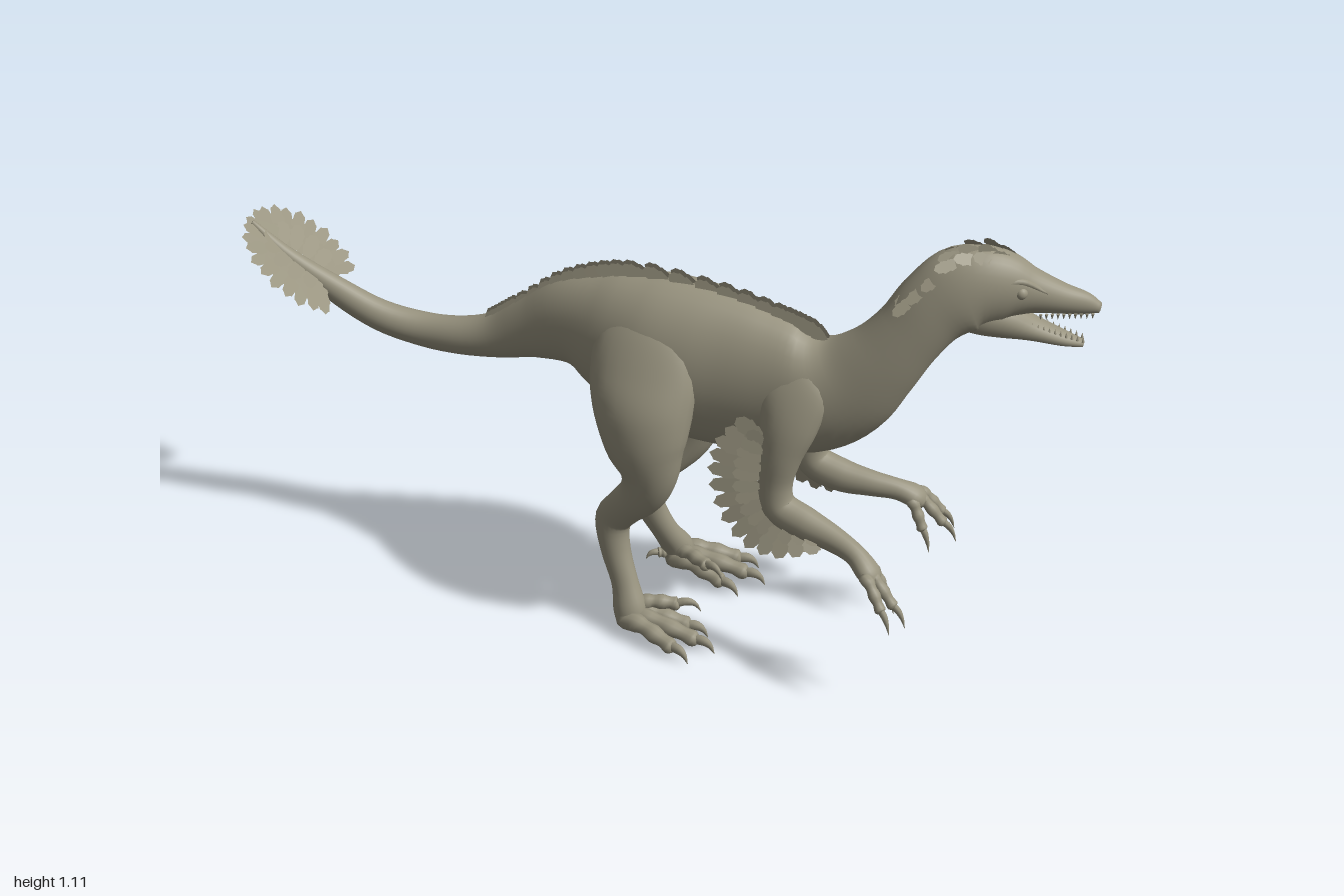
import * as THREE from 'three';

const mat = new THREE.MeshStandardMaterial({ color: 0x98937f, side: THREE.DoubleSide });
const V = (x, y, z) => new THREE.Vector3(x, y, z);

function add(parent, geometry, name) {
  const mesh = new THREE.Mesh(geometry, mat);
  mesh.name = name;
  parent.add(mesh);
  return mesh;
}

// Smooth skin through sections [x, y, z, radius in the bend plane, radius sideways]
function loft(sections, steps = 24, sides = 16) {
  const path = new THREE.CatmullRomCurve3(sections.map(s => V(s[0], s[1], s[2])), false, 'catmullrom', 0.5);
  const radii = new THREE.CatmullRomCurve3(sections.map(s => V(s[3], s[4], 0)), false, 'catmullrom', 0.5);
  const pos = [], idx = [];
  for (let i = 0; i <= steps; i++) {
    const c = path.getPoint(i / steps), t = path.getTangent(i / steps), r = radii.getPoint(i / steps);
    const s = V(0, 0, 1).addScaledVector(t, -t.z).normalize();
    const n = s.clone().cross(t);
    for (let j = 0; j < sides; j++) {
      const a = j / sides * Math.PI * 2;
      const p = c.clone().addScaledVector(n, Math.cos(a) * r.x).addScaledVector(s, Math.sin(a) * r.y);
      pos.push(p.x, p.y, p.z);
      if (i < steps) {
        const k = i * sides + j, l = i * sides + (j + 1) % sides;
        idx.push(k, l, k + sides, l, l + sides, k + sides);
      }
    }
  }
  // End caps
  const first = sections[0], last = sections[sections.length - 1], m = pos.length / 3, e = steps * sides;
  pos.push(first[0], first[1], first[2], last[0], last[1], last[2]);
  for (let j = 0; j < sides; j++) {
    const k = (j + 1) % sides;
    idx.push(m, k, j, m + 1, e + j, e + k);
  }
  const g = new THREE.BufferGeometry();
  g.setAttribute('position', new THREE.Float32BufferAttribute(pos, 3));
  g.setIndex(idx);
  g.computeVertexNormals();
  return g;
}

// Flat leaf with notched edges, one unit long
const half = [[0.2, 0.3], [0.45, 0.48], [0.5, 0.4], [0.7, 0.5], [0.74, 0.4], [0.9, 0.34], [0.92, 0.24]];
const leaf = new THREE.ShapeGeometry(new THREE.Shape([
  [0, 0.08], ...half, [1, 0], ...half.map(p => [p[0], -p[1]]).reverse(), [0, -0.08],
].map(p => new THREE.Vector2(...p))));

function feather(parent, base, tip, width, normal, name) {
  const x = tip.clone().sub(base), len = x.length();
  x.normalize();
  const y = normal.clone().cross(x).normalize(), z = x.clone().cross(y);
  const mesh = add(parent, leaf, name);
  mesh.quaternion.setFromRotationMatrix(new THREE.Matrix4().makeBasis(x, y, z));
  mesh.scale.set(len, width, 1);
  mesh.position.copy(base);
}

// Rows of swept-back feathers along a line running from front to back
function ridge(parent, points, count, rows, length, lift, name) {
  const line = new THREE.CatmullRomCurve3(points.map(p => V(...p)));
  const group = new THREE.Group();
  group.name = name;
  for (let i = 0; i < count; i++) {
    const p = line.getPoint(i / (count - 1)), t = line.getTangent(i / (count - 1));
    const n = V(t.y, -t.x, 0).normalize();
    for (const w of rows) {
      const base = p.clone().add(V(0, -Math.abs(w) * 0.4, w));
      const tip = base.clone().addScaledVector(t, length).addScaledVector(n, lift - Math.abs(w) * 0.4).add(V(0, 0, w * 0.6));
      feather(group, base, tip, length * 0.5, V(0, w * 30, 1).normalize(), 'ridgeFeather');
    }
  }
  parent.add(group);
}

// Toe or finger with knuckles and a hooked claw
function digit(parent, from, to, r, arch, claw, name) {
  const at = (k, lift, f) => {
    const p = from.clone().lerp(to, k);
    return [p.x, p.y + lift, p.z, r * f, r * f];
  };
  add(parent, loft([at(0, 0, 1), at(0.25, arch, 1.1), at(0.42, arch, 0.85), at(0.6, arch * 0.7, 1.05),
    at(0.78, arch * 0.4, 0.8), at(0.93, 0, 0.95), at(1, 0, 0.5)], 16, 10), name);
  const d = to.clone().sub(from).normalize();
  const hook = (k, drop, f) => [to.x + d.x * claw * k, to.y + d.y * claw * k - drop * claw, to.z + d.z * claw * k, r * f, r * f * 0.8];
  add(parent, loft([hook(-0.2, 0, 0.6), hook(0.3, -0.08, 0.6), hook(0.7, 0.1, 0.35), hook(0.95, 0.5, 0.04)], 8, 8), name + 'Claw');
}

function addLeg(root, s) {
  const leg = new THREE.Group();
  leg.name = s > 0 ? 'leftLeg' : 'rightLeg';
  // The right leg stands a little closer to the middle
  const k = s > 0 ? 0 : 0.045;
  add(leg, loft([
    [0.01, 0.84, 0.06 * s, 0.04, 0.015], [0.015, 0.77, (0.085 - k * 0.1) * s, 0.115, 0.042],
    [0.025, 0.69, (0.108 - k * 0.4) * s, 0.132, 0.066], [0.033, 0.61, (0.131 - k * 0.7) * s, 0.122, 0.08],
    [0.045, 0.53, (0.147 - k * 0.75) * s, 0.1, 0.072], [0.056, 0.455, (0.148 - k * 0.75) * s, 0.07, 0.057],
    [0.035, 0.39, (0.14 - k * 0.8) * s, 0.055, 0.048], [-0.015, 0.33, (0.125 - k) * s, 0.046, 0.038],
    [-0.052, 0.275, (0.113 - k) * s, 0.044, 0.032], [-0.044, 0.2, (0.118 - k * 0.8) * s, 0.037, 0.031],
    [-0.015, 0.12, (0.13 - k * 0.5) * s, 0.033, 0.029], [0.002, 0.06, 0.14 * s, 0.04, 0.036],
    [0.008, 0.02, 0.143 * s, 0.035, 0.036],
  ], 56, 24), 'legSkin');
  for (const [x, z] of [[0.145, 0.105 - k * 0.3], [0.185, 0.153], [0.145, 0.205]])
    digit(leg, V(0, 0.033, (0.142 + (z - 0.15) * 0.4) * s), V(x, 0.022, z * s), 0.021, 0.012, 0.045, 'toe');
  // Raised inner toe and small rear toe
  digit(leg, V(0.01, 0.05, 0.125 * s), V(0.11, 0.068, (0.093 - k * 0.3) * s), 0.018, 0.012, 0.055, 'sickleToe');
  digit(leg, V(-0.005, 0.05, 0.125 * s), V(-0.035, 0.05, 0.105 * s), 0.014, 0, 0.03, 'rearToe');
  root.add(leg);
}

function addArm(root, s) {
  const arm = new THREE.Group();
  arm.name = s > 0 ? 'leftArm' : 'rightArm';
  // The left hand hangs slightly lower
  const dip = s > 0 ? -0.015 : 0.012;
  add(arm, loft([
    [0.375, 0.79, 0.045 * s, 0.025, 0.012], [0.38, 0.72, 0.068 * s, 0.08, 0.034], [0.375, 0.64, 0.09 * s, 0.07, 0.042],
    [0.363, 0.56, 0.103 * s, 0.05, 0.04], [0.352, 0.48, 0.107 * s, 0.041, 0.035], [0.365, 0.42, 0.108 * s, 0.043, 0.036],
    [0.43, 0.395, 0.112 * s, 0.041, 0.035], [0.5, 0.383 + dip * 0.3, 0.12 * s, 0.032, 0.028],
    [0.56, 0.37 + dip * 0.6, 0.135 * s, 0.026, 0.024], [0.6, 0.348 + dip, 0.15 * s, 0.025, 0.032],
    [0.62, 0.332 + dip, 0.157 * s, 0.015, 0.02],
  ], 44, 20), 'armSkin');
  for (const [x, y, z] of [[0.635, 0.278, 0.12], [0.672, 0.28, 0.165], [0.655, 0.285, 0.203]])
    digit(arm, V(0.597, 0.348 + dip, (0.15 + (z - 0.16) * 0.5) * s), V(x, y + dip, z * s), 0.014, 0.01, 0.04, 'finger');
  // Wing feathers fan out behind the elbow, in a long and a short layer
  const bases = new THREE.CatmullRomCurve3([[0.33, 0.59], [0.335, 0.52], [0.335, 0.45], [0.38, 0.41], [0.46, 0.39]].map(p => V(p[0], p[1], 0.12 * s)));
  const tips = new THREE.CatmullRomCurve3([[0.275, 0.665], [0.22, 0.59], [0.205, 0.5], [0.23, 0.4], [0.29, 0.325], [0.37, 0.31], [0.46, 0.345]].map(p => V(p[0], p[1], 0.157 * s)));
  for (let i = 0; i < 14; i++) {
    const b = bases.getPoint(i / 13), t = tips.getPoint(i / 13);
    b.z += (i % 2) * 0.004 * s;
    feather(arm, b, t, 0.045, V(0.35, 0.1, s).normalize(), 'wingFeather');
    const outer = b.clone().lerp(t, 0.55).add(V(0, 0, 0.008 * s));
    feather(arm, b.clone().add(V(0, 0, 0.006 * s)), outer, 0.035, V(0.2, 0.2, s).normalize(), 'wingCovert');
  }
  root.add(arm);
}

export function createModel() {
  const root = new THREE.Group();
  root.name = 'featheredDinosaur';

  // Tail, trunk, neck and skull in one skin
  add(root, loft([
    [-0.985, 0.86, 0.112, 0.006, 0.006], [-0.9, 0.785, 0.1, 0.018, 0.018], [-0.8, 0.7, 0.065, 0.033, 0.028],
    [-0.7, 0.638, 0.037, 0.039, 0.034], [-0.6, 0.61, 0.013, 0.043, 0.037], [-0.5, 0.612, 0.006, 0.047, 0.042],
    [-0.4, 0.634, 0, 0.057, 0.046], [-0.3, 0.68, 0, 0.08, 0.055], [-0.2, 0.716, 0, 0.116, 0.075],
    [-0.1, 0.714, 0, 0.159, 0.108], [0, 0.702, 0, 0.187, 0.133], [0.1, 0.692, 0, 0.197, 0.132],
    [0.2, 0.685, 0, 0.194, 0.117], [0.3, 0.68, 0, 0.18, 0.106], [0.4, 0.685, 0, 0.155, 0.098],
    [0.48, 0.72, 0, 0.125, 0.08], [0.55, 0.79, -0.003, 0.096, 0.064], [0.61, 0.87, -0.016, 0.082, 0.056],
    [0.66, 0.94, -0.04, 0.088, 0.061], [0.72, 0.985, -0.07, 0.1, 0.068], [0.79, 0.988, -0.105, 0.088, 0.062],
    [0.85, 0.977, -0.13, 0.055, 0.045], [0.91, 0.96, -0.155, 0.037, 0.032], [0.96, 0.946, -0.178, 0.027, 0.022],
    [0.992, 0.936, -0.19, 0.012, 0.012],
  ], 110, 32), 'bodySkin');

  // Head details, placed along the turned snout
  const head = new THREE.Group();
  head.name = 'head';
  add(head, loft([
    [0.68, 0.935, -0.052, 0.025, 0.03], [0.74, 0.922, -0.08, 0.047, 0.046], [0.8, 0.906, -0.11, 0.044, 0.046],
    [0.86, 0.882, -0.135, 0.026, 0.034], [0.92, 0.859, -0.16, 0.016, 0.024], [0.962, 0.844, -0.18, 0.008, 0.012],
  ], 24, 16), 'lowerJaw');
  const side = V(0.41, 0, 0.91);
  for (const s of [1, -1]) {
    const eye = add(head, new THREE.SphereGeometry(0.015, 16, 12), 'eye');
    eye.position.copy(V(0.825, 0.995, -0.12).addScaledVector(side, s * 0.044));
    const brow = [[0.78, 1.015, -0.102, 0.053], [0.825, 1.022, -0.12, 0.042], [0.88, 0.99, -0.143, 0.029]];
    add(head, loft(brow.map(([x, y, z, w], i) => [x + side.x * w * s, y, z + side.z * w * s, i === 1 ? 0.008 : 0.003, 0.008]), 10, 8), 'browRidge');
    for (let i = 0; i < 10; i++) {
      const k = i / 9, x = 0.87 + k * 0.107, z = -0.139 - k * 0.044;
      const upper = add(head, new THREE.ConeGeometry(0.004, 0.014, 6), 'upperTooth');
      upper.position.copy(V(x, 0.923 - k * 0.002, z).addScaledVector(side, s * (0.024 - k * 0.012)));
      upper.rotation.x = Math.PI;
      const lower = add(head, new THREE.ConeGeometry(0.0035, 0.014, 6), 'lowerTooth');
      lower.position.copy(V(x - 0.015, 0.902 - k * 0.042, z + 0.006).addScaledVector(side, s * (0.024 - k * 0.014)));
    }
  }
  ridge(head, [[0.82, 1.052, -0.117], [0.775, 1.075, -0.097], [0.72, 1.078, -0.07], [0.67, 1.035, -0.045], [0.63, 0.99, -0.027]],
    7, [-0.028, -0.012, 0.012, 0.028], 0.06, 0.014, 'headCrest');
  root.add(head);

  // Feather ridge down the back
  ridge(root, [[0.43, 0.824, 0], [0.35, 0.844, 0], [0.2, 0.872, 0], [0, 0.883, 0], [-0.1, 0.867, 0], [-0.2, 0.826, 0], [-0.3, 0.754, 0], [-0.36, 0.708, 0]],
    24, [-0.008, 0, 0.008], 0.07, 0.024, 'backRidge');

  for (const s of [1, -1]) {
    addLeg(root, s);
    addArm(root, s);
  }

  // Round feather fan around the tail tip
  const fan = new THREE.Group();
  fan.name = 'tailFan';
  const axis = V(-0.76, 0.62, 0.19).normalize();
  const across = V(0, 0, 1).addScaledVector(axis, -axis.z).normalize();
  const normal = axis.clone().cross(across);
  const hub = V(-0.875, 0.768, 0.082);
  for (let i = -10; i <= 10; i++) {
    const a = i / 10 * 2.35, c = Math.cos(a), w = Math.sin(a);
    for (const [reach, lift] of [[1, 0], [0.62, 0.006]]) {
      const base = hub.clone().addScaledVector(axis, 0.07 * c).addScaledVector(normal, lift);
      const tip = hub.clone().addScaledVector(axis, 0.165 * c * reach + 0.025 * (1 - reach))
        .addScaledVector(across, 0.143 * w * reach).addScaledVector(normal, lift + 0.005 * (i & 1));
      feather(fan, base, tip, 0.04, normal, 'tailFeather');
    }
  }
  root.add(fan);
  return root;
}
